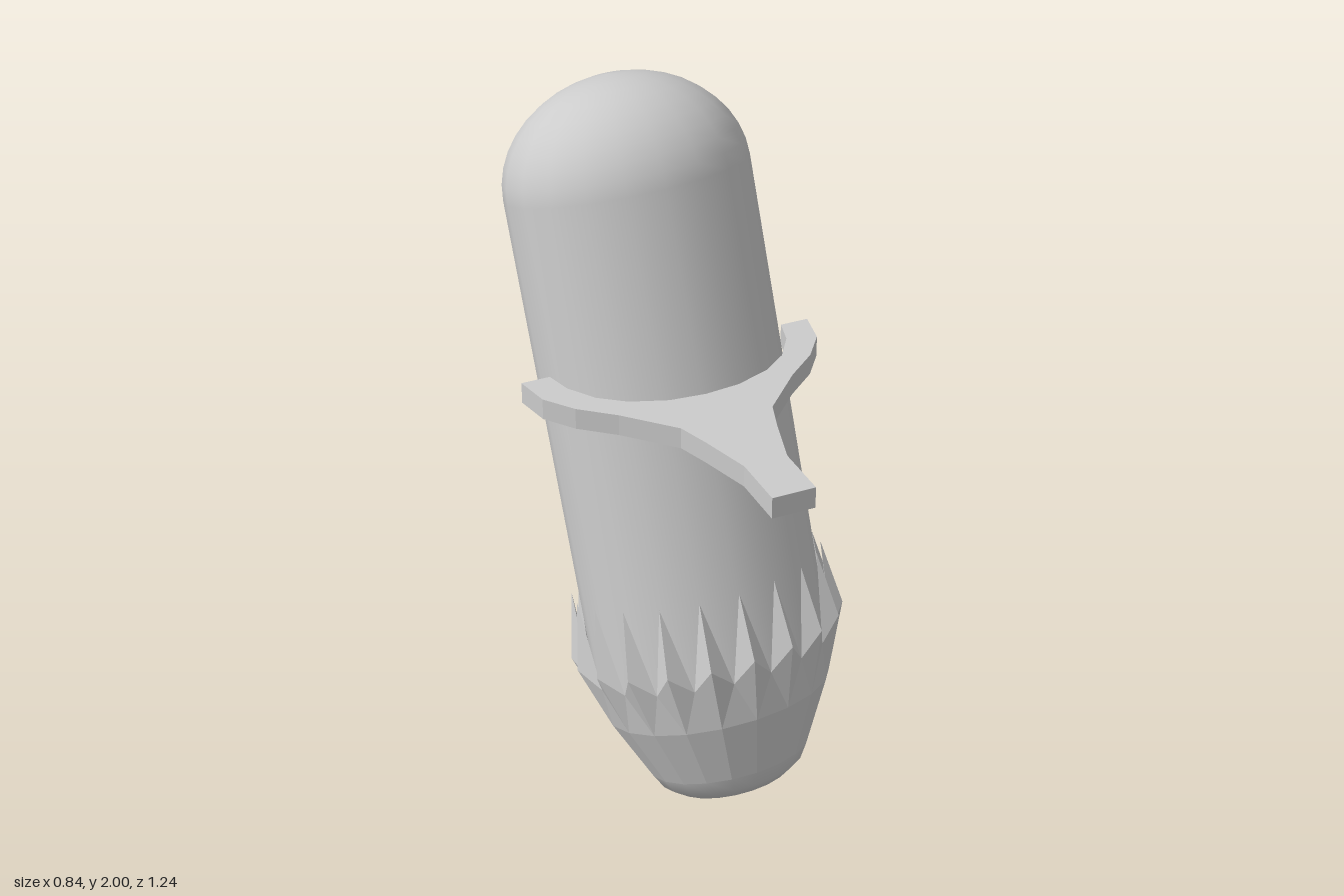
import * as THREE from 'three';

const SIDES = 20;

function mesh(name, geometry, options = {}) {
  const m = new THREE.Mesh(geometry, new THREE.MeshStandardMaterial({ color: 0xcccccc, ...options }));
  m.name = name;
  return m;
}

function lathe(name, points, options) {
  const profile = points.map(([r, y]) => new THREE.Vector2(r, y));
  return mesh(name, new THREE.LatheGeometry(profile, SIDES), options);
}

// Ring of pointed, ridged leaves rising from the collar
function crownGeometry() {
  const at = (r, y, i) => {
    const a = (i / SIDES) * Math.PI * 2;
    return [r * Math.sin(a), y, r * Math.cos(a)];
  };
  const pos = [];
  for (let i = 0; i < SIDES; i++) {
    const base = at(0.325, 0.31, i), nextBase = at(0.325, 0.31, i + 1);
    const ridge = at(0.395, 0.5, i), tip = at(0.36, 0.69, i);
    const left = at(0.355, 0.44, i - 0.5), right = at(0.355, 0.44, i + 0.5);
    const faces = [
      [base, nextBase, right],
      [base, right, ridge],
      [base, ridge, left],
      [ridge, right, tip],
      [ridge, tip, left],
    ];
    pos.push(...faces.flat(2));
  }
  const g = new THREE.BufferGeometry();
  g.setAttribute('position', new THREE.Float32BufferAttribute(pos, 3));
  g.computeVertexNormals();
  return g;
}

// Flat forked holder with a stem towards the front
function holderGeometry() {
  const outer = [[0.42, -0.15], [0.4, -0.05], [0.34, 0.03], [0.25, 0.105], [0.13, 0.23], [0.1, 0.32], [0.06, 0.46], [0.06, 0.62]];
  const inner = [[0.34, -0.15], [0.32, -0.075], [0.27, 0], [0.2, 0.053], [0.1, 0.09]];
  const mirror = (pts) => pts.map(([x, z]) => [-x, z]).reverse();
  const outline = [...outer, ...mirror(outer), ...mirror(inner).reverse(), [0, 0.1], ...[...inner].reverse()];
  const shape = new THREE.Shape(outline.map(([x, z]) => new THREE.Vector2(x, z)));
  return new THREE.ExtrudeGeometry(shape, { depth: 0.06, bevelEnabled: false })
    .rotateX(Math.PI / 2)
    .translate(0, 1.29, 0);
}

export function createModel() {
  const model = new THREE.Group();

  // Leaning container, oval in section
  const container = new THREE.Group();
  container.name = 'container';
  container.position.set(0.052, 0.012, 0.205);
  container.quaternion.setFromUnitVectors(
    new THREE.Vector3(0, 1, 0),
    new THREE.Vector3(-0.047, 1, -0.32).normalize()
  );
  container.scale.set(1, 1, 0.815);
  model.add(container);

  // Long body with a rounded top
  const body = [[0.325, 0.31], [0.34, 0.44], [0.34, 1.8]];
  for (let i = 1; i <= 10; i++) {
    const a = (i / 10) * Math.PI / 2;
    body.push([0.34 * Math.cos(a), 1.8 + 0.28 * Math.sin(a)]);
  }
  container.add(lathe('body', body));

  // Tapered base, rounded underside and small knob
  container.add(lathe('taperedBase', [[0.235, 0.125], [0.325, 0.31]], { flatShading: true }));
  container.add(lathe('underside', [[0, 0.03], [0.1, 0.035], [0.165, 0.05], [0.21, 0.082], [0.235, 0.125]]));
  container.add(lathe('knob', [[0, 0], [0.04, 0.004], [0.066, 0.018], [0.066, 0.04]]));

  container.add(mesh('leafCrown', crownGeometry(), { flatShading: true, side: THREE.DoubleSide }));

  model.add(mesh('holder', holderGeometry(), { flatShading: true }));
  return model;
}
